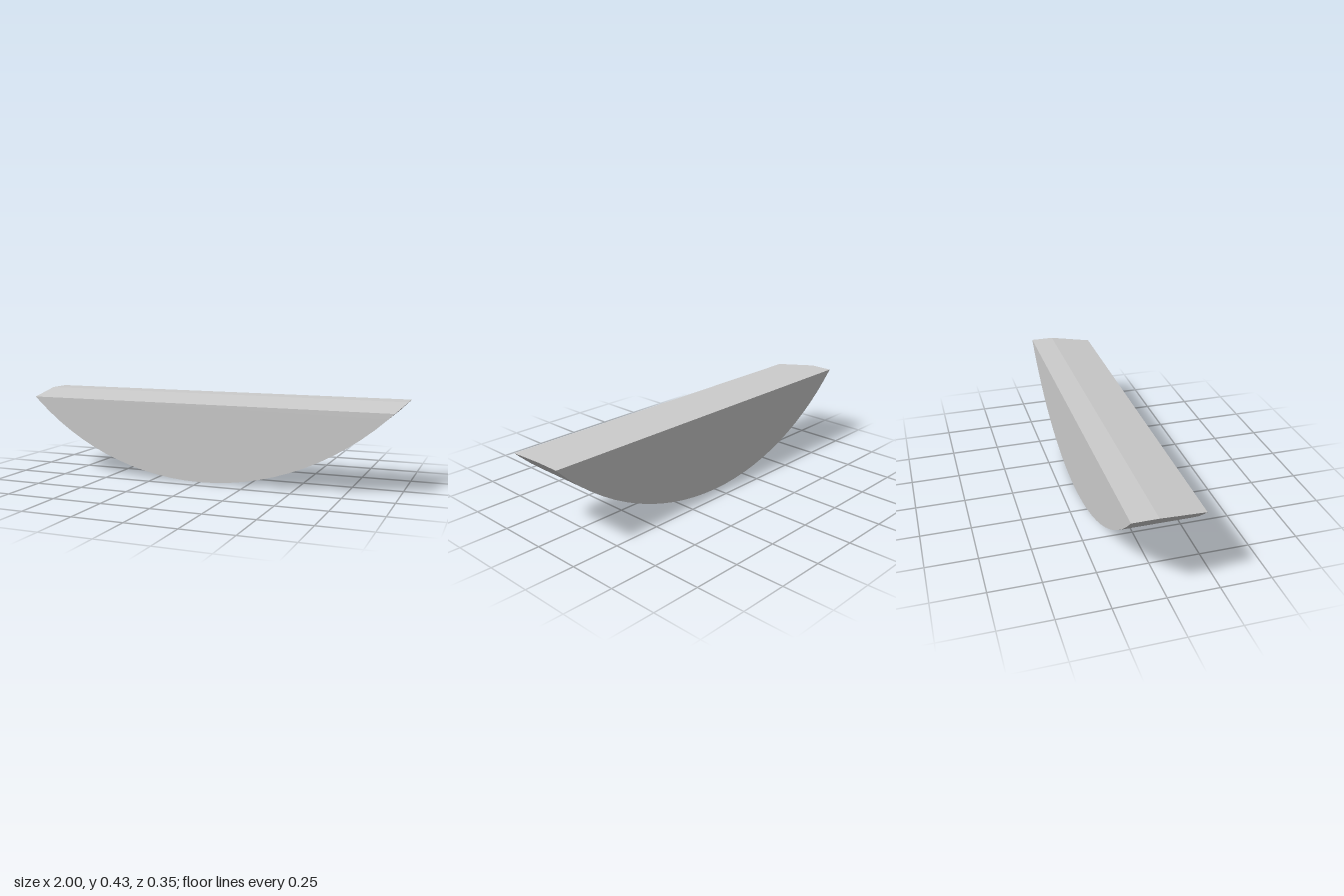
import * as THREE from 'three';

const R = 1.378;      // radius of the curved underside
const STEPS = 28;     // facets along the arc

// One cross-section: an arc standing on y = 0, cut off at the given height.
function arcSection(z, height, fullAngle) {
  const limit = Math.acos(1 - height / R);
  const points = [];
  for (let i = 0; i <= STEPS; i++) {
    const a = THREE.MathUtils.clamp(fullAngle * (2 * i / STEPS - 1), -limit, limit);
    points.push(new THREE.Vector3(R * Math.sin(a), R * (1 - Math.cos(a)), z));
  }
  return points;
}

export function createModel() {
  const group = new THREE.Group();
  group.name = 'curvedSegment';

  // Level top at the back, sloping down towards the front
  const fullAngle = Math.acos(1 - 0.43 / R);
  const sections = [[-0.173, 0.43], [-0.05, 0.43], [0.173, 0.4]]
    .map(([z, h]) => arcSection(z, h, fullAngle));

  const positions = [];
  const tri = (...corners) => corners.forEach((p) => positions.push(p.x, p.y, p.z));
  const quad = (a, b, c, d) => { tri(a, b, c); tri(a, c, d); };

  // Curved underside and top strips
  for (let s = 0; s < sections.length - 1; s++) {
    const back = sections[s], front = sections[s + 1];
    for (let i = 0; i < STEPS; i++) quad(back[i], back[i + 1], front[i + 1], front[i]);
    quad(back[0], front[0], front[STEPS], back[STEPS]);
  }

  // Flat back and front faces
  const back = sections[0], front = sections[sections.length - 1];
  for (let i = 1; i < STEPS; i++) {
    tri(back[0], back[i + 1], back[i]);
    tri(front[0], front[i], front[i + 1]);
  }

  const geometry = new THREE.BufferGeometry();
  geometry.setAttribute('position', new THREE.Float32BufferAttribute(positions, 3));
  geometry.computeVertexNormals();

  const body = new THREE.Mesh(
    geometry,
    new THREE.MeshStandardMaterial({ color: 0xcccccc, flatShading: true })
  );
  body.name = 'segmentBody';
  group.add(body);
  return group;
}
